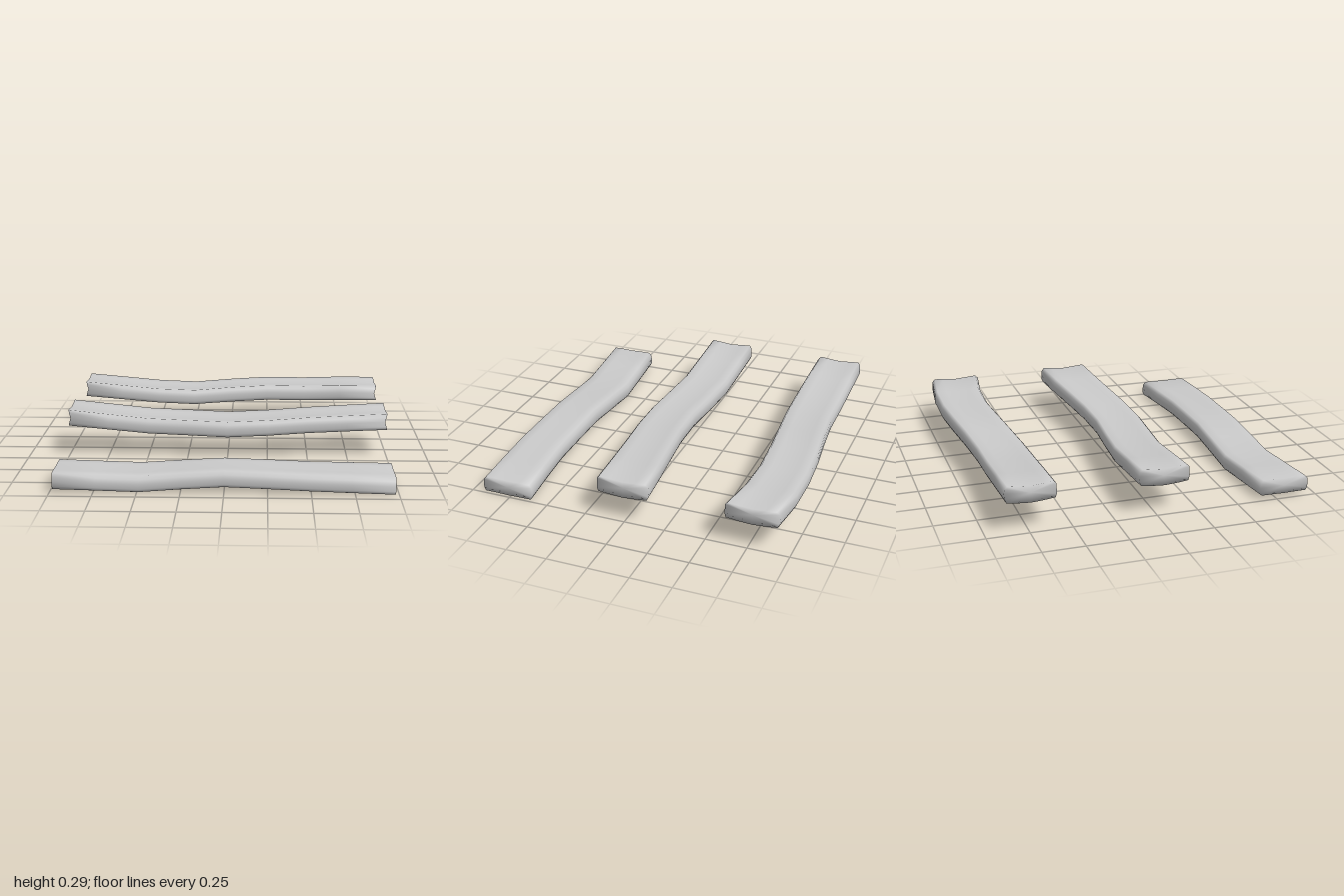
import * as THREE from 'three';

// Rounded plank cross-section: [across -1..1, height 0..1], counter-clockwise seen from +x
const SECTION = [
  [0.93, 0.02], [0.99, 0.2], [1, 0.5], [0.98, 0.78], [0.88, 0.97],
  [0.5, 0.98], [0, 0.95], [-0.5, 0.98],
  [-0.88, 0.97], [-0.98, 0.78], [-1, 0.5], [-0.99, 0.2], [-0.93, 0.02],
  [-0.5, 0.02], [0, 0], [0.5, 0.02],
];

// Each plank: values at nine evenly spaced stations from -x to +x
const PLANKS = [
  {
    name: 'frontPlank', half: 0.98, notch: 0, cup: 0,
    back: [0.65, 0.635, 0.62, 0.626, 0.633, 0.637, 0.64, 0.625, 0.605],
    front: [0.955, 0.942, 0.93, 0.929, 0.93, 0.938, 0.945, 0.94, 0.932],
    bottom: [0.025, 0.014, 0.003, 0.022, 0.038, 0.031, 0.022, 0.012, 0.002],
    top: [0.125, 0.113, 0.102, 0.121, 0.137, 0.13, 0.122, 0.114, 0.105],
  },
  {
    name: 'middlePlank', half: 1, notch: 0.015, cup: 0.012,
    back: [-0.11, -0.108, -0.105, -0.085, -0.06, -0.07, -0.1, -0.13, -0.155],
    front: [0.195, 0.198, 0.2, 0.22, 0.24, 0.23, 0.205, 0.187, 0.17],
    bottom: [0.197, 0.174, 0.151, 0.146, 0.14, 0.15, 0.162, 0.17, 0.177],
    top: [0.302, 0.277, 0.252, 0.247, 0.243, 0.253, 0.266, 0.275, 0.284],
  },
  {
    name: 'backPlank', half: 1, notch: 0.015, cup: 0.012,
    back: [-0.89, -0.89, -0.89, -0.89, -0.915, -0.945, -0.96, -0.96, -0.935],
    front: [-0.59, -0.585, -0.582, -0.587, -0.615, -0.64, -0.652, -0.645, -0.61],
    bottom: [0.197, 0.177, 0.156, 0.145, 0.158, 0.167, 0.162, 0.168, 0.175],
    top: [0.302, 0.28, 0.257, 0.248, 0.264, 0.273, 0.267, 0.274, 0.28],
  },
];

// Skins the section along the stations and closes both ends
function plankGeometry({ half, notch, cup, back, front, bottom, top }) {
  const n = SECTION.length, last = back.length - 1;
  const pos = [], idx = [];
  for (let i = 0; i <= last; i++) {
    const t = (i / last) * 2 - 1;
    const zMid = (front[i] + back[i]) / 2, w = (front[i] - back[i]) / 2;
    for (const [u, v] of SECTION) {
      // the end edges are slightly hollow at mid height
      const inset = i % last === 0 ? notch * (1 - Math.abs(2 * v - 1)) : 0;
      const y = bottom[i] + (top[i] - bottom[i]) * v - cup * (1 - u * u);
      pos.push(t * (half - inset), y, zMid + u * w);
    }
  }
  for (let i = 0; i < last; i++) {
    for (let j = 0; j < n; j++) {
      const k = (j + 1) % n;
      const a = i * n + j, b = i * n + k, c = a + n, d = b + n;
      idx.push(a, c, b, b, c, d);
    }
  }
  // end caps, sharing the rim so the shading rolls over the edge
  for (const i of [0, last]) {
    const s = i ? 1 : -1, centre = pos.length / 3;
    pos.push(s * (half - notch), (bottom[i] + top[i]) / 2 - cup, (front[i] + back[i]) / 2);
    for (let j = 0; j < n; j++) {
      const a = i * n + j, b = i * n + ((j + 1) % n);
      if (i) idx.push(centre, b, a);
      else idx.push(centre, a, b);
    }
  }
  const g = new THREE.BufferGeometry();
  g.setAttribute('position', new THREE.Float32BufferAttribute(pos, 3));
  g.setIndex(idx);
  g.computeVertexNormals();
  return g;
}

export function createModel() {
  const group = new THREE.Group();
  group.name = 'wavyPlanks';
  const material = new THREE.MeshStandardMaterial({ color: 0xcccccc });
  for (const plank of PLANKS) {
    const mesh = new THREE.Mesh(plankGeometry(plank), material);
    mesh.name = plank.name;
    group.add(mesh);
  }
  return group;
}
